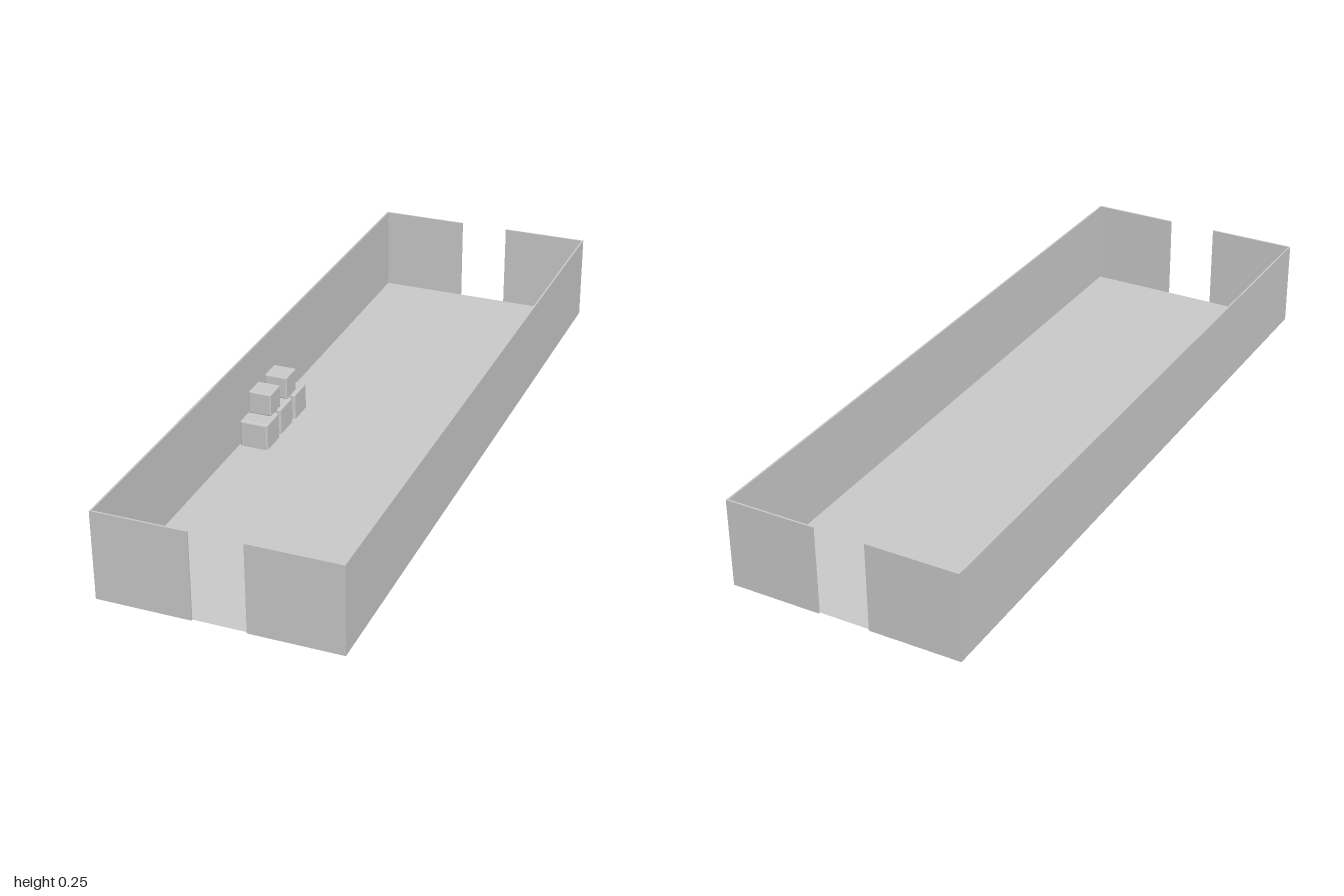
import * as THREE from 'three';
import { RoundedBoxGeometry } from 'three/addons/geometries/RoundedBoxGeometry.js';

export function createModel() {
  const model = new THREE.Group();
  const material = new THREE.MeshStandardMaterial({ color: 0xcccccc, flatShading: true });
  const thinMaterial = new THREE.MeshStandardMaterial({ color: 0xcccccc, side: THREE.DoubleSide });

  const base = 0.005, top = 0.255, halfX = 0.328, halfZ = 1, t = 0.005;

  function add(name, geometry, x, y, z, mat = material) {
    const mesh = new THREE.Mesh(geometry, mat);
    mesh.name = name;
    mesh.position.set(x, y, z);
    model.add(mesh);
    return mesh;
  }

  // Thin wall given by its extents in x and z
  function wall(name, x0, x1, z0, z1) {
    add(name, new THREE.BoxGeometry(x1 - x0, top - base, z1 - z0),
      (x0 + x1) / 2, (base + top) / 2, (z0 + z1) / 2);
  }

  // Floor sheet, ending just inside the end walls
  const floor = new THREE.PlaneGeometry(2 * (halfX - t), 2 * (halfZ - t)).rotateX(-Math.PI / 2);
  add('floor', floor, 0, base, 0, thinMaterial);

  // Long side walls
  wall('rightWall', -halfX, -halfX + t, -halfZ, halfZ);
  wall('leftWall', halfX - t, halfX, -halfZ, halfZ);

  // End walls, each with a doorway in the middle
  for (const [end, z] of [['front', halfZ - t], ['back', -halfZ]]) {
    wall(end + 'WallRight', -halfX + t, -0.07, z, z + t);
    wall(end + 'WallLeft', 0.075, halfX - t, z, z + t);
  }

  // Row of three large crates with two small crates stacked on top
  const large = 0.083, small = 0.067;
  [[-0.278, 0.137], [-0.28, 0.04], [-0.278, -0.057]].forEach(([x, z]) =>
    add('largeCrate', new RoundedBoxGeometry(large, large, large, 1, 0.005), x, large / 2, z));
  for (const z of [0.093, -0.018]) {
    add('smallCrate', new RoundedBoxGeometry(small, small, small, 1, 0.003), -0.281, large + small / 2, z);
  }

  return model;
}
